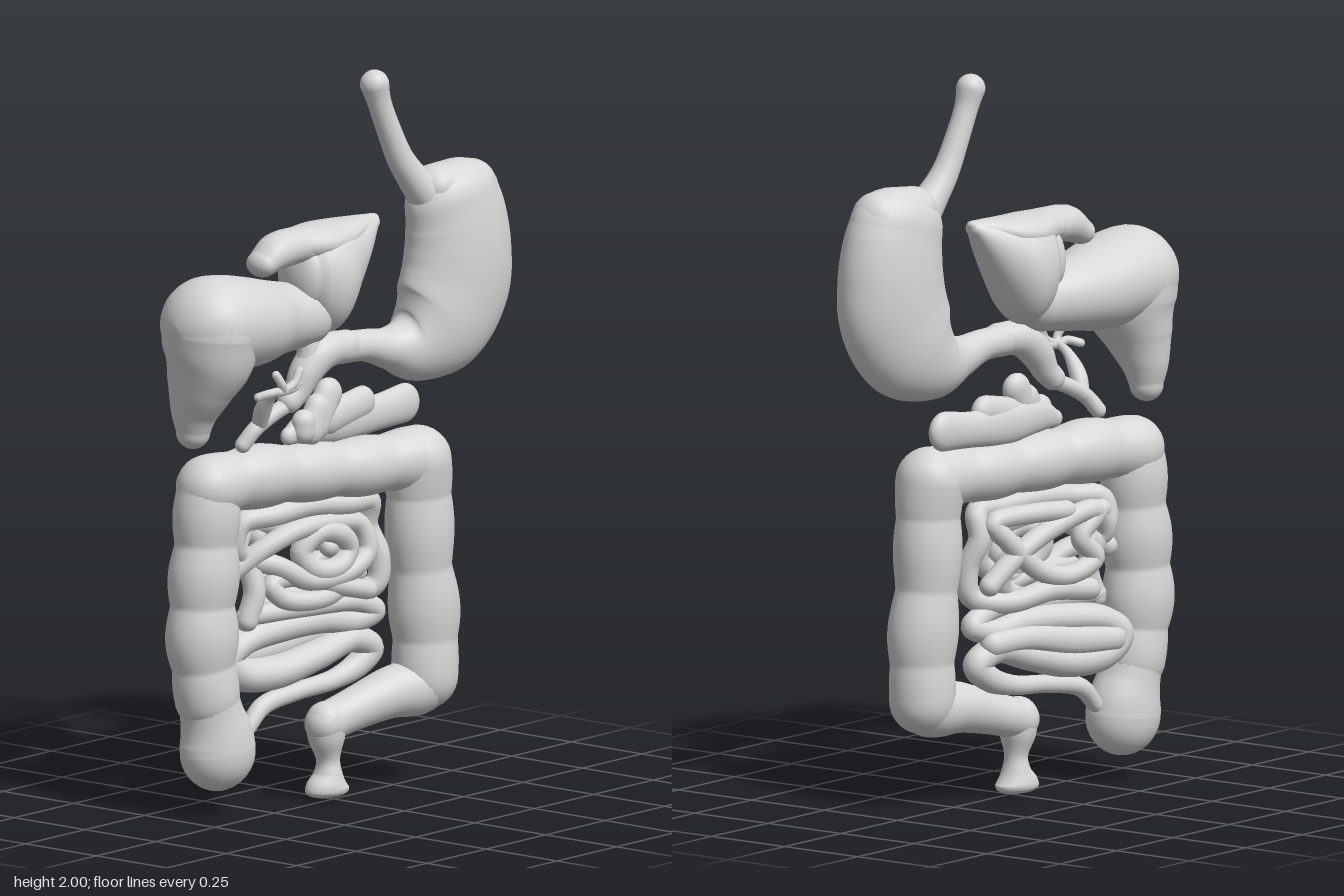
import * as THREE from 'three';

const tissue = new THREE.MeshStandardMaterial({ color: 0xd6d6d6 });
tissue.name = 'tissue grey';

// The organs lie around one slightly turned plane; dz is the distance in front of it.
const planeZ = (x) => 0.23 * x - 0.02;
const front = new THREE.Vector3(-0.22, 0, 0.975), sideways = new THREE.Vector3(0.975, 0, 0.22);

// Sweeps an oval along points [x, y, dz, radius, depthRadius], with rounded ends.
// bump > 0 adds creased pouches along the tube; cap is the end length in radii;
// upright keeps every cross-section vertical.
function sweep(points, { steps = 10, sides = 20, bump = 0, pitch = 0.17, closed = false, cap = 1, upright = false } = {}) {
  const path = new THREE.CatmullRomCurve3(
    points.map(([x, y, dz]) => new THREE.Vector3(x, y, planeZ(x) + dz)), closed);
  const size = new THREE.CatmullRomCurve3(
    points.map(([, , , r, rz = r]) => new THREE.Vector3(r, rz, 0)), closed, 'catmullrom', 0.5);
  const n = steps * (closed ? points.length : points.length - 1);
  const rings = [];
  let length = 0, last = null;
  for (let i = 0; i <= n; i++) {
    const p = path.getPoint(i / n), s = size.getPoint(i / n);
    const t = upright ? sideways : path.getTangent(i / n);
    if (last) length += p.distanceTo(last);
    last = p;
    const k = 1 + bump * (2 * Math.abs(Math.cos((length / pitch) * Math.PI)) - 1.2);
    rings.push({ p, t, r: s.x * k, rz: s.y * k });
  }
  if (!closed) {
    const dome = (ring, sign) => [1, 2, 3, 4, 5, 6, 7, 8].map((k) => {
      const a = (k / 8) * Math.PI / 2, c = Math.max(Math.cos(a), 0.001);
      const p = ring.p.clone().addScaledVector(ring.t, sign * cap * Math.sin(a) * ring.r);
      return { p, t: ring.t, r: ring.r * c, rz: ring.rz * c };
    });
    const start = dome(rings[0], -1).reverse(), end = dome(rings[n], 1);
    rings.unshift(...start);
    rings.push(...end);
  }
  const position = [], index = [];
  rings.forEach(({ p, t, r, rz }, i) => {
    const across = t.clone().cross(front).normalize();
    const depth = t.clone().cross(across);
    for (let j = 0; j < sides; j++) {
      const a = (j / sides) * Math.PI * 2;
      const v = p.clone().addScaledVector(across, r * Math.cos(a)).addScaledVector(depth, rz * Math.sin(a));
      position.push(v.x, v.y, v.z);
      if (i === rings.length - 1) continue;
      const j2 = (j + 1) % sides, o = i * sides;
      index.push(o + j, o + j2, o + sides + j, o + j2, o + sides + j2, o + sides + j);
    }
  });
  const g = new THREE.BufferGeometry();
  g.setAttribute('position', new THREE.Float32BufferAttribute(position, 3));
  g.setIndex(index);
  g.computeVertexNormals();
  return g;
}

export function createModel() {
  const model = new THREE.Group();
  model.name = 'digestiveTract';
  const add = (name, points, options) => {
    const mesh = new THREE.Mesh(sweep(points, options), tissue);
    mesh.name = name;
    model.add(mesh);
  };
  // Thin tubes of one radius
  const tube = (name, r, points, options) =>
    add(name, points.map(([x, y, dz = 0]) => [x, y, dz, r]), { sides: 12, steps: 8, ...options });
  // Small intestine coils, set a little behind the plane
  const coil = (name, r, points, options) =>
    tube(name, r, points.map(([x, y, dz = 0]) => [x, y, dz - 0.02]), options);

  // Gullet, stomach and duodenum
  add('esophagus', [[0.135, 1.96, 0.02, 0.04], [0.15, 1.91, 0.02, 0.033], [0.185, 1.82, 0.02, 0.034],
    [0.222, 1.74, 0.02, 0.038], [0.265, 1.68, 0.02, 0.045], [0.32, 1.62, 0.02, 0.06]]);
  add('stomach', [[0.395, 1.61, 0.015, 0.146, 0.096], [0.408, 1.55, 0.015, 0.155, 0.104],
    [0.414, 1.47, 0.015, 0.163, 0.11], [0.402, 1.37, 0.015, 0.17, 0.11], [0.345, 1.272, 0.015, 0.155, 0.105],
    [0.26, 1.222, 0.015, 0.104, 0.085], [0.18, 1.225, 0.02, 0.06], [0.09, 1.245, 0.03, 0.044],
    [0.0, 1.25, 0.04, 0.044]], { sides: 36, cap: 0.74 });
  // Shoulder of the stomach dome
  add('stomachShoulder', [[0.335, 1.652, 0.018, 0.062, 0.07], [0.4, 1.652, 0.015, 0.066, 0.075],
    [0.455, 1.642, 0.015, 0.072, 0.075]], { sides: 24 });
  add('duodenum', [[0.02, 1.255, 0.04, 0.043], [-0.06, 1.245, 0.04, 0.05], [-0.11, 1.2, 0.04, 0.046],
    [-0.14, 1.15, 0.04, 0.037], [-0.165, 1.125, 0.04, 0.034]]);
  tube('duodenumStem', 0.035, [[-0.1, 1.3, 0.03], [-0.1, 1.25, 0.04], [-0.12, 1.18, 0.04]]);

  // Liver: large lobe with its lower tip, small pointed lobe and top knob
  add('liverTail', [[-0.465, 1.075, 0.02, 0.047, 0.047], [-0.465, 1.13, 0.025, 0.064, 0.07],
    [-0.462, 1.2, 0.042, 0.088, 0.1], [-0.452, 1.28, 0.06, 0.12, 0.13], [-0.45, 1.36, 0.067, 0.133, 0.142]],
    { sides: 36 });
  add('liverRightLobe', [[-0.45, 1.375, 0.067, 0.134, 0.142], [-0.39, 1.37, 0.058, 0.131, 0.142],
    [-0.3, 1.36, 0.04, 0.121, 0.132], [-0.2, 1.355, 0.018, 0.102, 0.108], [-0.1, 1.35, 0.015, 0.086, 0.085]],
    { sides: 36 });
  add('liverLeftLobe', [[-0.1, 1.465, 0.015, 0.105, 0.085], [-0.075, 1.455, 0.01, 0.138, 0.105],
    [-0.03, 1.447, 0.008, 0.154, 0.117], [0.01, 1.455, 0.005, 0.145, 0.112], [0.06, 1.49, 0, 0.11, 0.085],
    [0.11, 1.535, 0, 0.063, 0.055], [0.15, 1.577, 0, 0.021, 0.025]], { sides: 36, cap: 0.5, upright: true });
  // Flat upper edge joining knob and point
  add('liverTopEdge', [[-0.13, 1.552, 0.025, 0.046, 0.065], [-0.05, 1.55, 0.01, 0.051, 0.09],
    [0.03, 1.555, 0.0, 0.045, 0.08], [0.1, 1.572, 0.0, 0.028, 0.045], [0.15, 1.586, 0, 0.013, 0.018]],
    { sides: 24, upright: true });
  add('liverKnob', [[-0.265, 1.518, 0.05, 0.037, 0.05], [-0.215, 1.544, 0.045, 0.05, 0.058],
    [-0.14, 1.55, 0.03, 0.05, 0.062], [-0.07, 1.545, 0.02, 0.055, 0.07]]);

  // Bile ducts and their small branches
  tube('bileDuct', 0.022, [[-0.31, 1.02, 0.03], [-0.28, 1.06, 0.04], [-0.22, 1.095, 0.04], [-0.16, 1.12, 0.04]]);
  add('gallDuct', [[-0.265, 1.07, 0.04, 0.022], [-0.28, 1.12, 0.07, 0.024], [-0.295, 1.17, 0.12, 0.014],
    [-0.31, 1.19, 0.17, 0.01]], { sides: 12 });
  [[[-0.39, 1.18, 0.17], [-0.36, 1.19, 0.185], [-0.31, 1.185, 0.17]],
    [[-0.335, 1.235, 0.175], [-0.32, 1.205, 0.18], [-0.31, 1.185, 0.17]],
    [[-0.25, 1.235, 0.165], [-0.27, 1.205, 0.17], [-0.31, 1.185, 0.17]],
    [[-0.245, 1.2, 0.155], [-0.27, 1.19, 0.165], [-0.31, 1.185, 0.17]]]
    .forEach((p) => tube('ductBranch', 0.012, p, { sides: 10 }));

  // Pancreas: flat leaf-like lobes fanning from one root
  add('pancreasBody', [[-0.14, 1.02, 0.01, 0.025, 0.02], [-0.08, 1.035, 0.0, 0.045, 0.026],
    [0.05, 1.03, -0.02, 0.055, 0.03], [0.2, 1.035, -0.045, 0.05, 0.03], [0.31, 1.045, -0.065, 0.055, 0.03]]);
  [[-0.1, 1.03, -0.1, 1.055, 0.035], [-0.07, 1.03, -0.04, 1.085, 0.042], [-0.05, 1.04, 0.0, 1.12, 0.043],
    [0.0, 1.05, 0.135, 1.075, 0.045]].forEach(([x0, y0, x1, y1, r]) => {
    const at = (k) => {
      const x = x0 + (x1 - x0) * k;
      return [x, y0 + (y1 - y0) * k, -0.2 * x, r, 0.03];
    };
    add('pancreasLobe', [at(0), at(0.5), at(1)], { sides: 14 });
  });

  // Large intestine
  add('cecum', [[-0.365, 0.178, 0, 0.111, 0.09], [-0.37, 0.22, 0, 0.106, 0.088], [-0.385, 0.28, 0, 0.09, 0.082],
    [-0.4, 0.34, 0, 0.085, 0.08]], { sides: 28 });
  add('ascendingColon', [[-0.4, 0.33, 0, 0.088, 0.08], [-0.415, 0.45, 0, 0.1, 0.085], [-0.415, 0.6, 0, 0.1, 0.085],
    [-0.405, 0.75, 0, 0.095, 0.085], [-0.4, 0.905, 0, 0.088, 0.083]], { bump: 0.06, steps: 20, sides: 24 });
  add('transverseColon', [[-0.395, 0.91, 0, 0.086], [-0.25, 0.92, 0, 0.086], [-0.08, 0.912, 0, 0.08],
    [0.1, 0.905, 0, 0.08], [0.29, 0.905, 0, 0.085]], { bump: 0.05, steps: 20, sides: 24 });
  add('descendingColon', [[0.295, 0.9, 0, 0.09], [0.3, 0.8, 0, 0.098, 0.086], [0.305, 0.62, 0, 0.093, 0.085],
    [0.32, 0.45, 0, 0.1, 0.086], [0.32, 0.3, 0, 0.09, 0.083]], { bump: 0.05, steps: 20, sides: 24, pitch: 0.2 });
  add('sigmoidColon', [[0.32, 0.32, 0, 0.088, 0.08], [0.3, 0.28, 0, 0.084, 0.078], [0.2, 0.265, 0, 0.07],
    [0.1, 0.24, 0, 0.06], [0.03, 0.22, 0, 0.056], [-0.015, 0.208, 0.005, 0.056]], { sides: 24 });
  add('rectum', [[-0.012, 0.215, 0.005, 0.055], [-0.01, 0.165, 0.005, 0.05], [-0.005, 0.11, 0.005, 0.033],
    [-0.005, 0.07, 0.005, 0.04], [-0.008, 0.035, 0.005, 0.064, 0.048], [-0.008, 0.018, 0.005, 0.064, 0.045],
    [-0.008, 0.008, 0.005, 0.045, 0.03], [-0.008, 0.005, 0.005, 0.005]]);

  // Small intestine: end piece, large lower loops, then the coiled upper part
  add('ileum', [[-0.26, 0.22, -0.01, 0.022], [-0.2, 0.275, -0.02, 0.026], [-0.08, 0.3, -0.03, 0.025],
    [0.06, 0.315, -0.045, 0.028], [0.15, 0.345, -0.055, 0.036], [0.19, 0.385, -0.055, 0.038],
    [0.12, 0.42, -0.05, 0.038, 0.045], [0.0, 0.39, -0.045, 0.042, 0.05], [-0.14, 0.36, -0.045, 0.047, 0.055],
    [-0.26, 0.372, -0.04, 0.047, 0.055], [-0.305, 0.415, -0.04, 0.044, 0.05], [-0.25, 0.458, -0.04, 0.04, 0.05],
    [-0.12, 0.48, -0.045, 0.04, 0.045], [0.02, 0.485, -0.045, 0.038], [0.13, 0.47, -0.045, 0.034],
    [0.19, 0.49, -0.04, 0.032], [0.12, 0.525, -0.03, 0.029], [-0.05, 0.53, -0.025, 0.027],
    [-0.25, 0.53, -0.025, 0.027]], { sides: 16 });
  add('lowerBackLoop', [[-0.26, 0.41, -0.07, 0.038, 0.035], [-0.12, 0.42, -0.075, 0.04, 0.03],
    [0.04, 0.445, -0.075, 0.035, 0.03], [0.15, 0.44, -0.07, 0.035, 0.035]], { sides: 16 });
  coil('upperFrameCoil', 0.031, [[-0.25, 0.52, 0.0], [-0.225, 0.6], [-0.235, 0.68, -0.02], [-0.28, 0.73, -0.01],
    [-0.27, 0.79, 0], [-0.18, 0.805, 0.02], [-0.05, 0.815, 0.01], [0.07, 0.805, 0.01], [0.155, 0.8, 0],
    [0.165, 0.73, -0.02], [0.185, 0.65, 0], [0.175, 0.57, 0.0], [0.08, 0.545, -0.03], [-0.06, 0.565, -0.04],
    [-0.2, 0.55, -0.03]]);
  coil('middleCoil', 0.029, [[-0.27, 0.66, -0.02], [-0.19, 0.72, 0.01], [-0.1, 0.755, 0.02], [0.02, 0.76, 0.01],
    [0.12, 0.74, 0], [0.14, 0.67, 0.01], [0.07, 0.62, 0.02], [-0.06, 0.61, 0.02], [-0.16, 0.66, 0.01],
    [-0.25, 0.7, -0.03], [-0.2, 0.77, -0.05], [-0.06, 0.74, -0.05], [0.06, 0.68, -0.05], [0.15, 0.6, -0.04]]);
  coil('innerRing', 0.031, [[-0.08, 0.69, 0.01], [-0.03, 0.74, 0.02], [0.04, 0.725, 0.02], [0.075, 0.68, 0.01],
    [0.03, 0.635, 0.02], [-0.05, 0.64, 0.02]], { closed: true });
  coil('crossingCoil', 0.027, [[0.13, 0.56, 0.02], [0.03, 0.585, 0.02], [-0.09, 0.62, 0], [-0.18, 0.61, 0.01],
    [-0.15, 0.57, 0.02], [-0.02, 0.555, 0.02], [0.09, 0.59, -0.02], [0.08, 0.66, -0.03], [0.02, 0.69, 0.0]]);
  coil('backCoil', 0.028, [[-0.22, 0.77, -0.05], [-0.15, 0.7, -0.05], [-0.2, 0.64, -0.05], [-0.1, 0.6, -0.05],
    [0.0, 0.63, -0.05], [0.1, 0.72, -0.05], [0.14, 0.77, -0.04], [0.02, 0.785, -0.05], [-0.1, 0.78, -0.05]]);

  return model;
}
